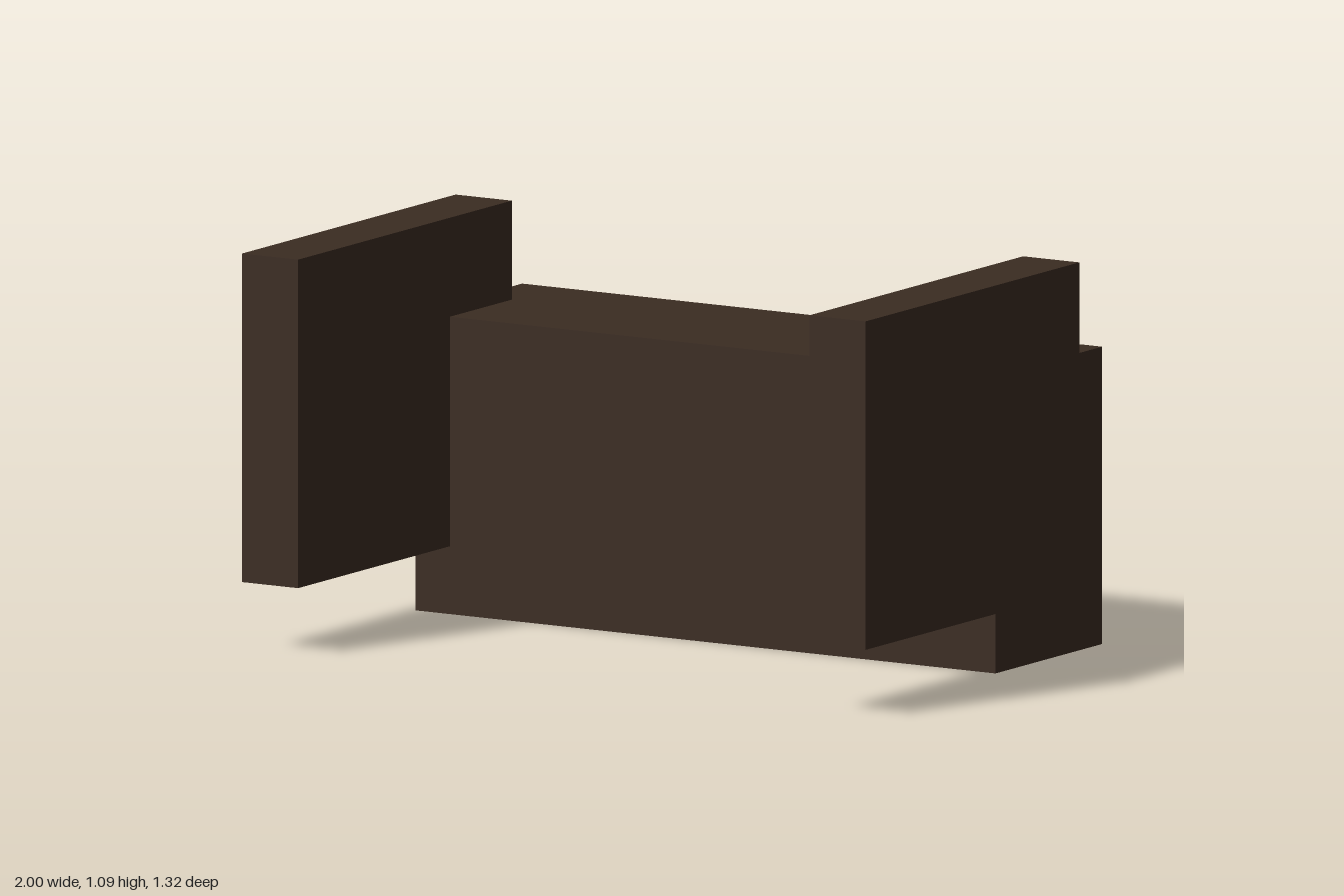
import * as THREE from 'three';

const darkBrown = new THREE.MeshStandardMaterial({ color: 0x3b2c22 });
darkBrown.name = 'dark brown';

// Box given by its lower and upper corners
function block(name, min, max) {
  const size = max.map((v, i) => v - min[i]);
  const mesh = new THREE.Mesh(new THREE.BoxGeometry(...size), darkBrown);
  mesh.position.set(...max.map((v, i) => (v + min[i]) / 2));
  mesh.name = name;
  return mesh;
}

export function createModel() {
  const model = new THREE.Group();
  model.name = 'bracket';

  // Wide block across the back
  model.add(block('backBlock', [-0.93, 0, -0.66], [0.93, 0.82, -0.115]));

  // Upright side panels, raised and reaching forward
  model.add(block('leftPanel', [0.82, 0.187, -0.432], [1, 1.093, 0.66]));
  model.add(block('rightPanel', [-1, 0.187, -0.432], [-0.82, 1.093, 0.66]));

  return model;
}
